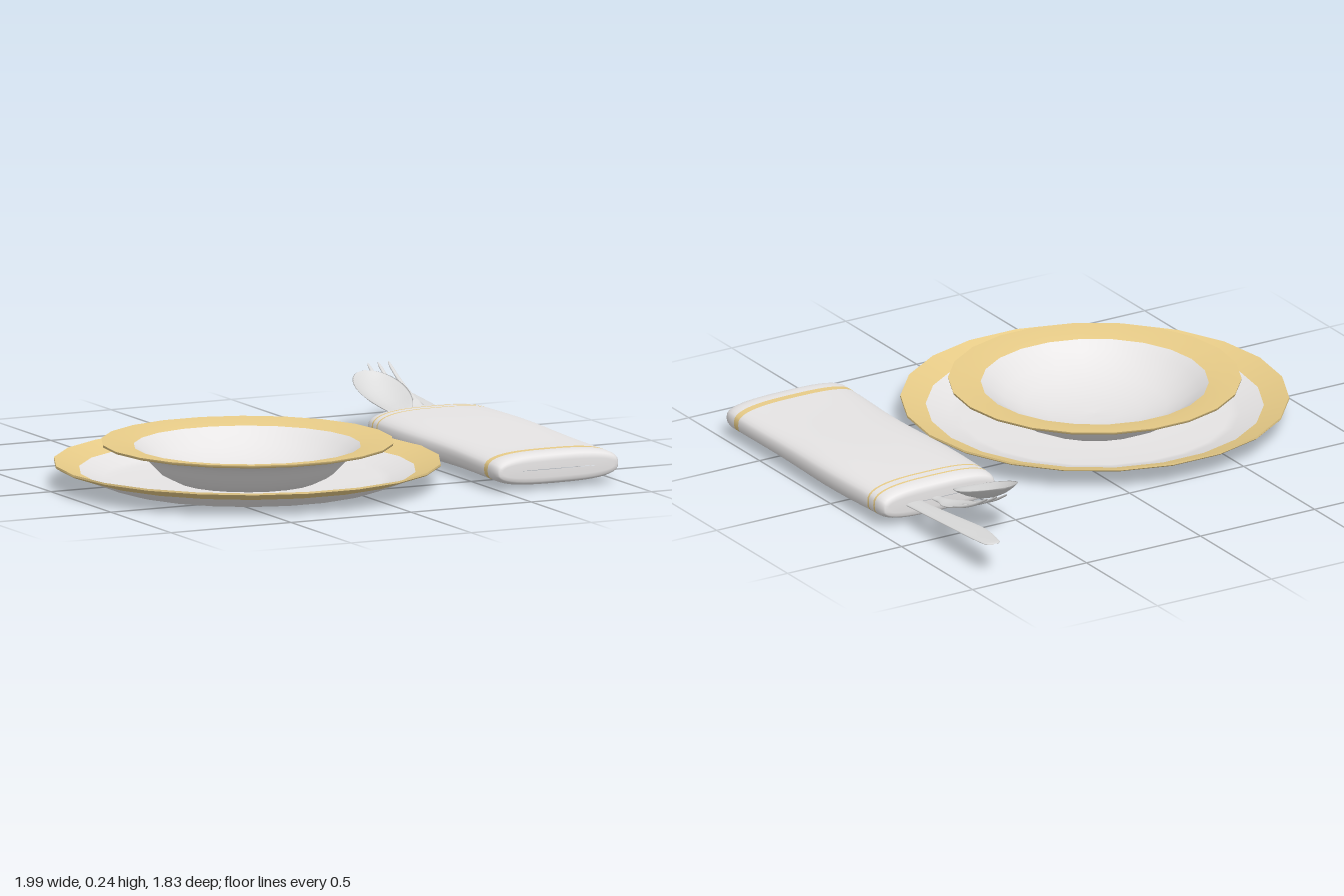
import * as THREE from 'three';
import { mergeVertices } from 'three/addons/utils/BufferGeometryUtils.js';

const mat = (name, color) => Object.assign(new THREE.MeshStandardMaterial({ color }), { name });
const white = mat('white', 0xe6e4e4);
const gold = mat('gold', 0xe8cc88);
const silver = mat('silver', 0xdadada);

// Turned surface with 22 sides; the profile runs outward below and inward above
function turned(name, points, material) {
  const g = new THREE.LatheGeometry(points.map(p => new THREE.Vector2(...p)), 22, Math.PI / 2);
  const m = new THREE.Mesh(g, material);
  m.name = name;
  return m;
}

// Smoothly resample stations [z, x, y, halfWidth, halfThickness, sag]
function smooth(stations, sub = 4) {
  const a = new THREE.CatmullRomCurve3(stations.map(s => new THREE.Vector3(s[0], s[1], s[2])), false, 'catmullrom');
  const b = new THREE.CatmullRomCurve3(stations.map(s => new THREE.Vector3(s[3], s[4], s[5] || 0)), false, 'catmullrom');
  const n = (stations.length - 1) * sub;
  return Array.from({ length: n + 1 }, (_, i) => {
    const p = a.getPoint(i / n), q = b.getPoint(i / n);
    return [p.x, p.y, p.z, Math.max(q.x, 0.0005), Math.max(q.y, 0.0005), q.z];
  });
}

// Loft superellipse rings along -z; bandOf picks a material index for each band
function loft(name, stations, materials, power = 2, sides = 20, bandOf = () => 0) {
  const pos = [], idx = [], g = new THREE.BufferGeometry();
  const pw = v => Math.sign(v) * Math.abs(v) ** (2 / power);
  for (const [z, x, y, w, t, sag = 0] of stations) {
    for (let j = 0; j < sides; j++) {
      const a = (j / sides) * Math.PI * 2, c = pw(Math.cos(a)), s = pw(Math.sin(a));
      pos.push(x + w * c, y + t * s - sag * (1 - c * c), z);
    }
  }
  for (let i = 0; i < stations.length - 1; i++) {
    g.addGroup(idx.length, sides * 6, bandOf(stations[i][0], stations[i + 1][0]));
    for (let j = 0; j < sides; j++) {
      const p = i * sides + j, r = i * sides + (j + 1) % sides;
      idx.push(p, p + sides, r, r, p + sides, r + sides);
    }
  }
  g.setAttribute('position', new THREE.Float32BufferAttribute(pos, 3));
  g.setIndex(idx);
  g.computeVertexNormals();
  const m = new THREE.Mesh(g, materials);
  m.name = name;
  return m;
}

function group(name, ...parts) {
  const g = new THREE.Group();
  g.name = name;
  g.add(...parts);
  return g;
}

// Folded napkin: soft pillow with gold bands
function napkin() {
  const stripes = [[0.705, 0.675], [-0.265, -0.275], [-0.225, -0.235]];
  const zs = [0.78, 0.778, 0.772, 0.76, 0.74, 0.72, 0.705, 0.675, 0.6, 0.5, 0.4, 0.3, 0.2, 0.1, 0,
    -0.1, -0.18, -0.225, -0.235, -0.265, -0.275, -0.295, -0.31, -0.322, -0.328, -0.33];
  const stations = zs.map(z => {
    const d = Math.min(0.78 - z, z + 0.33);
    const k = Math.min(d / 0.05, 1);
    const end = Math.sqrt(1 - (1 - k) ** 2);
    const wave = Math.sin((z + 0.33) * 5);
    const w = (0.248 + 0.004 * Math.cos(z * 9)) * (0.93 + 0.07 * end) + 0.008;
    const t = (0.066 + 0.005 * wave) * (0.6 + 0.4 * end);
    const x = 0.729 + 0.004 * Math.sin(z * 6);
    return [z, x, 0.08 - 0.005 * z, d === 0 ? w * 0.96 : w, d === 0 ? t * 0.8 : t];
  });
  // Close both ends with a shrunken ring
  const first = stations[0], last = stations[stations.length - 1];
  stations.unshift([0.78, first[1], first[2], 0.15, 0.001]);
  stations.push([-0.33, last[1], last[2], 0.15, 0.001]);
  const inStripe = (a, b) => stripes.some(([hi, lo]) => a <= hi + 1e-6 && b >= lo - 1e-6) ? 1 : 0;
  return loft('napkin', stations, [white, gold], 2.9, 40, inStripe);
}

// Spoon: narrow handle opening into a hollow oval bowl
function spoon() {
  return loft('spoon', smooth([
    [0, 0.645, 0.08, 0.022, 0.008], [-0.25, 0.645, 0.09, 0.02, 0.008],
    [-0.33, 0.645, 0.1, 0.024, 0.008], [-0.37, 0.645, 0.117, 0.045, 0.007, 0.008],
    [-0.43, 0.645, 0.142, 0.078, 0.005, 0.026], [-0.5, 0.645, 0.167, 0.098, 0.004, 0.04],
    [-0.57, 0.645, 0.191, 0.097, 0.004, 0.042], [-0.63, 0.645, 0.211, 0.074, 0.004, 0.028],
    [-0.665, 0.645, 0.222, 0.04, 0.004, 0.01], [-0.679, 0.645, 0.226, 0.001, 0.002],
  ]), [silver]);
}

// Fork: curved neck and palm with three tines
function fork() {
  const x = 0.742;
  const head = loft('forkHead', smooth([
    [0, x, 0.075, 0.022, 0.007], [-0.3, x, 0.08, 0.02, 0.007], [-0.38, x, 0.088, 0.025, 0.007],
    [-0.44, x, 0.1, 0.048, 0.006, 0.006], [-0.5, x, 0.115, 0.055, 0.006, 0.006],
    [-0.55, x, 0.132, 0.054, 0.005, 0.002], [-0.565, x, 0.138, 0.045, 0.001],
  ]), [silver]);
  const tines = [-0.043, 0, 0.043].map(dx => loft('forkTine', smooth([
    [-0.53, x + dx, 0.126, 0.011, 0.006], [-0.6, x + dx, 0.15, 0.01, 0.006],
    [-0.68, x + dx, 0.187, 0.009, 0.006], [-0.74, x + dx, 0.222, 0.007, 0.005],
    [-0.76, x + dx, 0.236, 0.002, 0.002],
  ]), [silver], 2, 8));
  return group('fork', head, ...tines);
}

// Knife: long flat blade with a rounded tip
function knife() {
  return loft('knife', smooth([
    [0, 0.835, 0.06, 0.035, 0.009], [-0.33, 0.836, 0.079, 0.037, 0.009],
    [-0.5, 0.835, 0.091, 0.042, 0.008], [-0.7, 0.832, 0.106, 0.05, 0.007],
    [-0.78, 0.835, 0.111, 0.048, 0.007], [-0.86, 0.845, 0.117, 0.038, 0.006],
    [-0.9, 0.848, 0.12, 0.03, 0.005], [-0.918, 0.848, 0.121, 0.008, 0.003],
  ]), [silver]);
}

export function createModel() {
  const plate = group('plate',
    turned('plateUnderside', [[0, 0], [0.3, 0], [0.5, 0.002], [0.53, 0.01], [0.64, 0.053]], white),
    turned('plateRimUnderside', [[0.64, 0.053], [0.72, 0.08], [0.725, 0.085]], gold),
    turned('plateRimEdge', [[0.725, 0.085], [0.724, 0.092]], gold),
    turned('plateRimTop', [[0.724, 0.092], [0.63, 0.06]], gold),
    turned('plateTop', [[0.63, 0.06], [0.54, 0.028], [0.5, 0.018], [0.3, 0.014], [0, 0.014]], white));

  const bowl = group('bowl',
    turned('bowlOutside', [[0, 0.015], [0.26, 0.016], [0.32, 0.045], [0.36, 0.085], [0.385, 0.112],
      [0.42, 0.13], [0.53, 0.153]], white),
    turned('bowlRimEdge', [[0.53, 0.153], [0.545, 0.157], [0.547, 0.166]], gold),
    turned('bowlRimTop', [[0.547, 0.166], [0.48, 0.16], [0.425, 0.15]], gold),
    turned('bowlInside', [[0.425, 0.15], [0.39, 0.125], [0.34, 0.09], [0.27, 0.058], [0.18, 0.036],
      [0.09, 0.026], [0, 0.023]], white));

  for (const dish of [plate, bowl]) dish.position.set(-0.277, 0, 0.19);

  return group('placeSetting', plate, bowl, napkin(), group('cutlery', spoon(), fork(), knife()));
}
